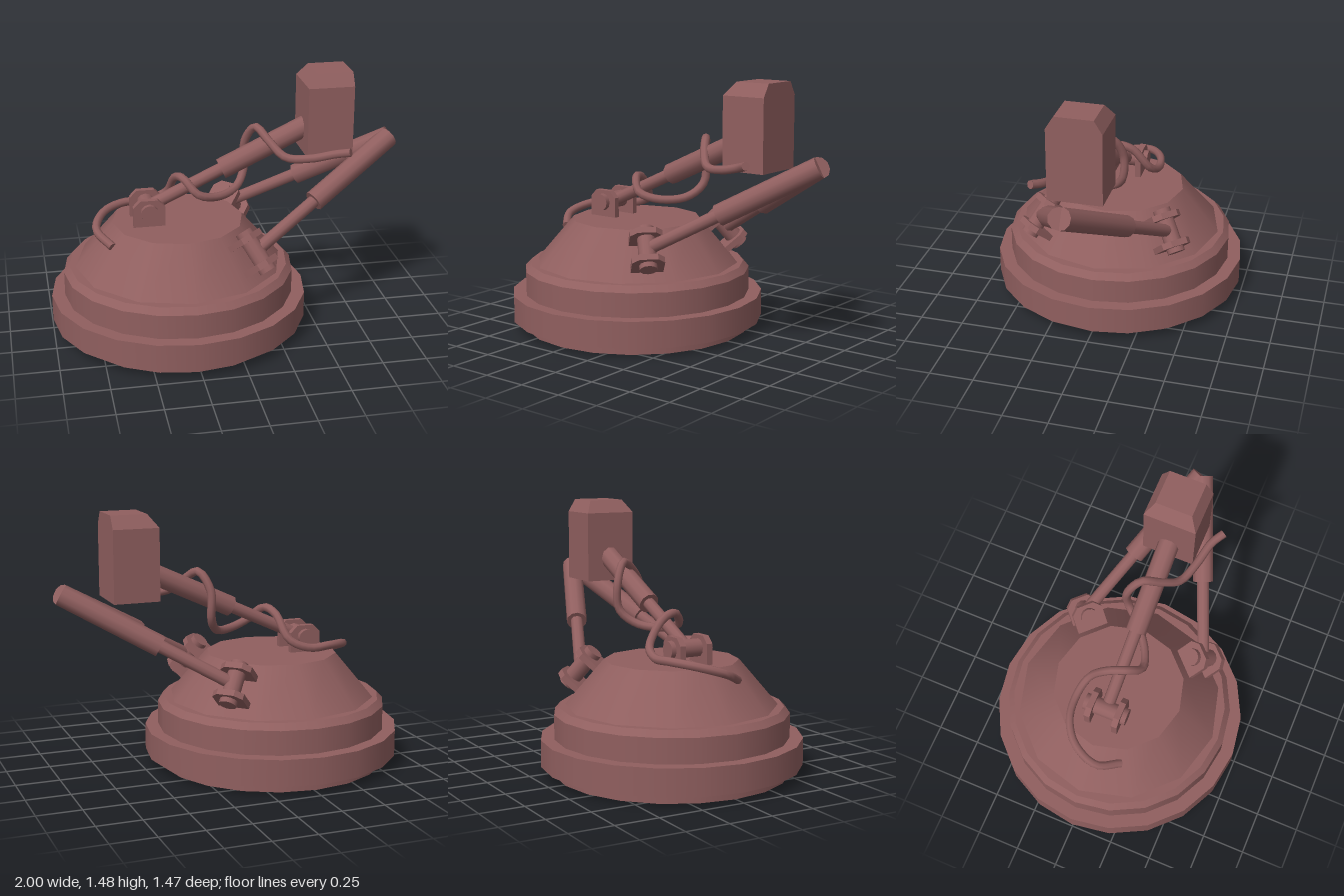
import * as THREE from 'three';

const V = (x, y, z) => new THREE.Vector3(x, y, z);
const material = new THREE.MeshStandardMaterial({ color: 0x905f5f });

function part(parent, name, geometry) {
  const mesh = new THREE.Mesh(geometry, material);
  mesh.name = name;
  parent.add(mesh);
  return mesh;
}

// Cylinder running between two points
function rod(parent, name, a, b, radius, sides = 10) {
  const dir = b.clone().sub(a);
  const mesh = part(parent, name, new THREE.CylinderGeometry(radius, radius, dir.length(), sides));
  mesh.position.copy(a).add(b).multiplyScalar(0.5);
  mesh.quaternion.setFromUnitVectors(V(0, 1, 0), dir.normalize());
  return mesh;
}

// Thin inner rod sliding in a wider sleeve
function telescopicArm(parent, name, start, end, split) {
  const arm = new THREE.Group();
  arm.name = name;
  const joint = start.clone().lerp(end, split);
  rod(arm, 'innerRod', start, joint.clone().lerp(end, 0.1), 0.036);
  rod(arm, 'sleeve', joint, end, 0.06);
  parent.add(arm);
}

// Two chamfered lugs joined by a pin along local z, standing on local y = 0
const PIN_HEIGHT = 0.085;
function clevis(name) {
  const group = new THREE.Group();
  group.name = name;
  const outline = new THREE.Shape([
    [-0.09, -0.02], [0.09, -0.02], [0.09, 0.115], [0.05, 0.155], [-0.05, 0.155], [-0.09, 0.115],
  ].map(([x, y]) => new THREE.Vector2(x, y)));
  for (const z of [-0.1, 0.065]) {
    const lug = part(group, 'lug', new THREE.ExtrudeGeometry(outline, { depth: 0.035, bevelEnabled: false }));
    lug.position.z = z;
  }
  rod(group, 'pin', V(0, PIN_HEIGHT, -0.128), V(0, PIN_HEIGHT, 0.128), 0.05, 12);
  return group;
}

export function createModel() {
  const model = new THREE.Group();
  model.name = 'armMount';

  // Stacked round base: [name, bottom radius, top radius, bottom y, top y, sides]
  const base = new THREE.Group();
  base.name = 'base';
  base.position.x = -0.267;
  model.add(base);
  for (const [name, r0, r1, y0, y1, sides] of [
    ['drum', 0.658, 0.658, 0, 0.345, 20],
    ['collar', 0.733, 0.733, 0.055, 0.207, 20],
    ['drumBevel', 0.658, 0.625, 0.345, 0.38, 20],
    ['dome', 0.593, 0.375, 0.379, 0.635, 12],
  ]) {
    part(base, name, new THREE.CylinderGeometry(r1, r0, y1 - y0, sides)).position.y = (y0 + y1) / 2;
  }

  // Main arm on the dome top
  const topClevis = clevis('topClevis');
  topClevis.position.set(-0.44, 0.635, 0);
  model.add(topClevis);
  telescopicArm(model, 'mainArm', V(-0.44, 0.715, 0), V(0.52, 1.165, 0), 0.443);

  // Head block, its top chamfered on the inner side and both flanks
  const head = new THREE.BoxGeometry(0.26, 0.475, 0.3, 1, 2, 1);
  const p = head.attributes.position;
  for (let i = 0; i < p.count; i++) {
    if (Math.abs(p.getY(i)) < 0.01) p.setY(i, 0.165);
    else if (p.getY(i) > 0) {
      p.setZ(i, Math.sign(p.getZ(i)) * 0.105);
      if (p.getX(i) < 0) p.setX(i, -0.075);
    }
  }
  const headFlat = head.toNonIndexed();
  headFlat.computeVertexNormals();
  part(model, 'headBlock', headFlat).position.set(0.58, 1.2375, 0);

  // Pair of side struts hinged on the dome slope, meeting at the tip
  for (const side of [1, -1]) {
    const hinge = V(0.11, 0.56, side * 0.375);
    const out = V(Math.SQRT1_2, 0, side * Math.SQRT1_2);
    const normal = out.clone().multiplyScalar(0.765).setY(0.645);
    const slope = out.clone().multiplyScalar(0.645).setY(-0.765);
    const across = normal.clone().cross(slope);
    const bracket = clevis('sideClevis');
    bracket.quaternion.setFromRotationMatrix(new THREE.Matrix4().makeBasis(across, normal, slope));
    bracket.position.copy(hinge).addScaledVector(normal, -PIN_HEIGHT);
    model.add(bracket);
    telescopicArm(model, 'sideStrut', hinge, V(0.965, 1.045, side * 0.005), 0.425);
  }

  // Cable winding from the dome around the main arm to the head
  const path = new THREE.CatmullRomCurve3([
    V(-0.66, 0.565, 0.18), V(-0.735, 0.62, 0.06), V(-0.68, 0.665, -0.09),
    V(-0.56, 0.68, -0.175), V(-0.42, 0.68, -0.195), V(-0.31, 0.73, -0.165),
    V(-0.27, 0.86, -0.06), V(-0.235, 0.885, 0.04), V(-0.165, 0.81, 0.105),
    V(-0.05, 0.775, 0.07), V(0.08, 0.79, -0.03), V(0.14, 0.87, -0.11),
    V(0.145, 1.03, -0.115), V(0.195, 1.135, -0.05), V(0.25, 1.08, 0.04),
    V(0.33, 1.005, 0.125), V(0.46, 1.005, 0.17), V(0.6, 1.035, 0.205), V(0.67, 1.055, 0.25),
  ]);
  part(model, 'cable', new THREE.TubeGeometry(path, 72, 0.024, 8));
  path.points.forEach((end, i, all) => {
    if (i !== 0 && i !== all.length - 1) return;
    const cap = part(model, 'cableEnd', new THREE.CircleGeometry(0.024, 8));
    cap.position.copy(end);
    cap.lookAt(end.clone().addScaledVector(path.getTangent(i ? 1 : 0), i ? 1 : -1));
  });

  return model;
}
